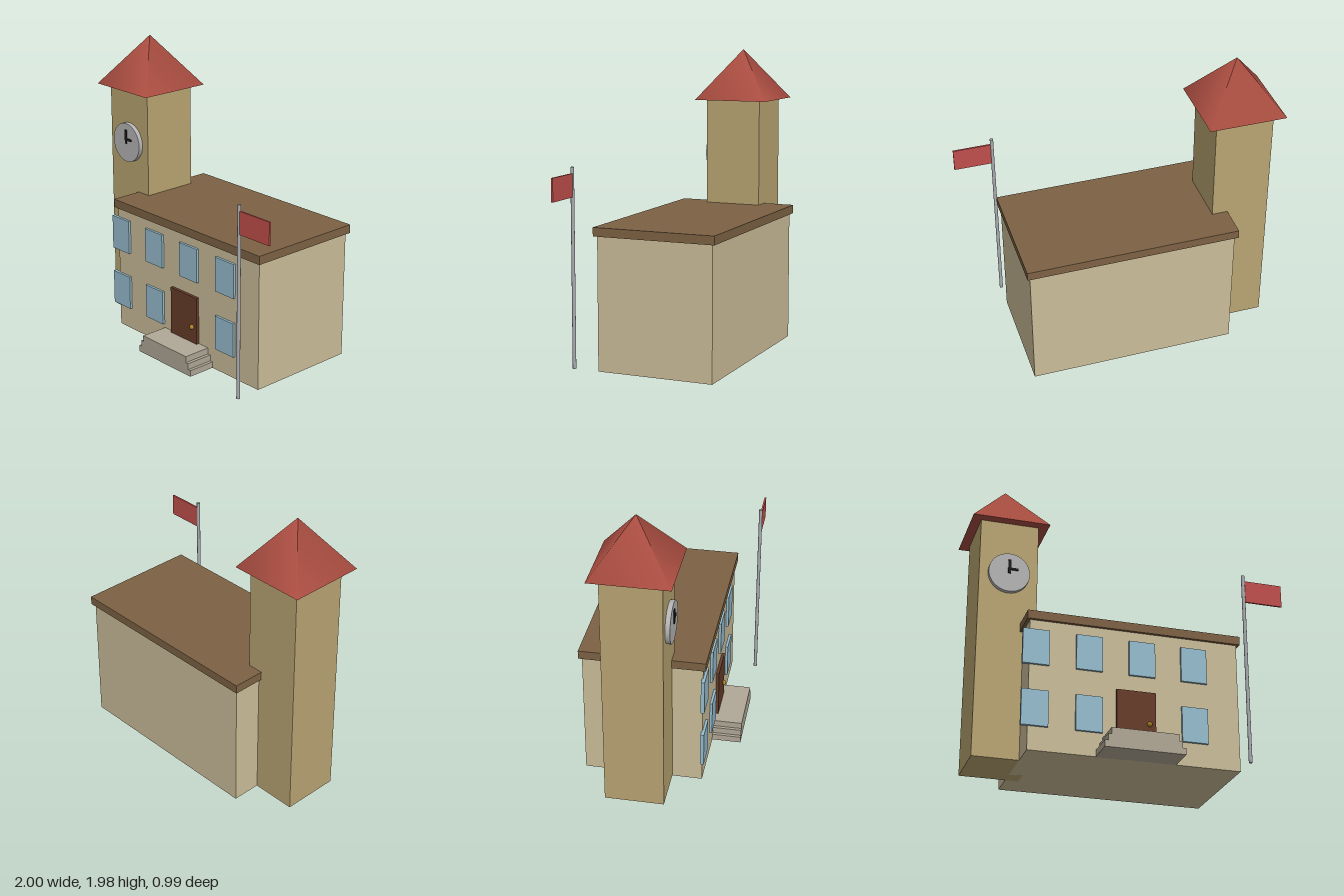
import * as THREE from 'three';

const mat = (color) => new THREE.MeshStandardMaterial({ color });

export function createModel() {
  const group = new THREE.Group();
  const wall = mat(0xcbbd99), tower = mat(0xb9a472), brown = mat(0x7d6244), red = mat(0xa84c40);
  const glass = mat(0x96bccd), wood = mat(0x663c2a), stone = mat(0xb0a796), metal = mat(0xa9abb0);
  const black = mat(0x1c1c1c), brass = mat(0xb08228), flagRed = mat(0xc04f4c), dial = mat(0xb4b4b4);

  const add = (name, geometry, material, x, y, z) => {
    const mesh = new THREE.Mesh(geometry, material);
    mesh.name = name;
    mesh.position.set(x, y, z);
    group.add(mesh);
    return mesh;
  };
  // Box given by its minimum and maximum along each axis
  const box = (name, material, x0, x1, y0, y1, z0, z1) =>
    add(name, new THREE.BoxGeometry(x1 - x0, y1 - y0, z1 - z0), material,
      (x0 + x1) / 2, (y0 + y1) / 2, (z0 + z1) / 2);

  // Main hall with overhanging flat roof
  box('hall', wall, -0.635, 0.74, 0, 0.87, -0.475, 0.302);
  box('hallRoof', brown, -0.655, 0.76, 0.865, 0.922, -0.495, 0.322);

  // Clock tower with four-sided spire
  const tx = -0.742, tz = -0.088;
  box('tower', tower, tx - 0.193, tx + 0.193, 0, 1.637, tz - 0.193, tz + 0.193);
  const spire = new THREE.ConeGeometry(0.257 * Math.SQRT2, 0.343, 4).rotateY(Math.PI / 4);
  add('towerRoof', spire, red, tx, 1.637 + 0.1715, tz);

  // Clock face and hands
  const face = new THREE.CylinderGeometry(0.136, 0.136, 0.031, 32).rotateX(Math.PI / 2);
  add('clockFace', face, dial, tx, 1.264, 0.12);
  box('minuteHand', black, tx - 0.009, tx + 0.009, 1.257, 1.355, 0.132, 0.142);
  box('hourHand', black, tx - 0.01, tx + 0.057, 1.281, 1.296, 0.132, 0.142);

  // Two rows of windows; the door replaces the third one below
  for (let i = 0; i < 4; i++) {
    const x = -0.595 + i * 0.345;
    box('upperWindow', glass, x - 0.086, x + 0.086, 0.562, 0.797, 0.295, 0.319);
    if (i !== 2) box('lowerWindow', glass, x - 0.086, x + 0.086, 0.155, 0.39, 0.295, 0.319);
  }

  // Door and knob
  box('door', wood, -0.075, 0.18, 0.127, 0.455, 0.295, 0.322);
  add('doorKnob', new THREE.SphereGeometry(0.017, 20, 14), brass, 0.137, 0.24, 0.325);

  // Stepped stoop, narrowing upwards
  for (let i = 0; i < 3; i++) {
    const half = 0.258 - i * 0.0215;
    box('step', stone, 0.055 - half, 0.055 + half, i * 0.0425, (i + 1) * 0.0425, 0.295, 0.495);
  }

  // Flagpole and flag
  add('flagpole', new THREE.CylinderGeometry(0.0115, 0.0115, 1.29, 16), metal, 0.738, 0.645, 0.473);
  box('flag', flagRed, 0.748, 1.0, 1.1, 1.25, 0.467, 0.479);

  return group;
}
